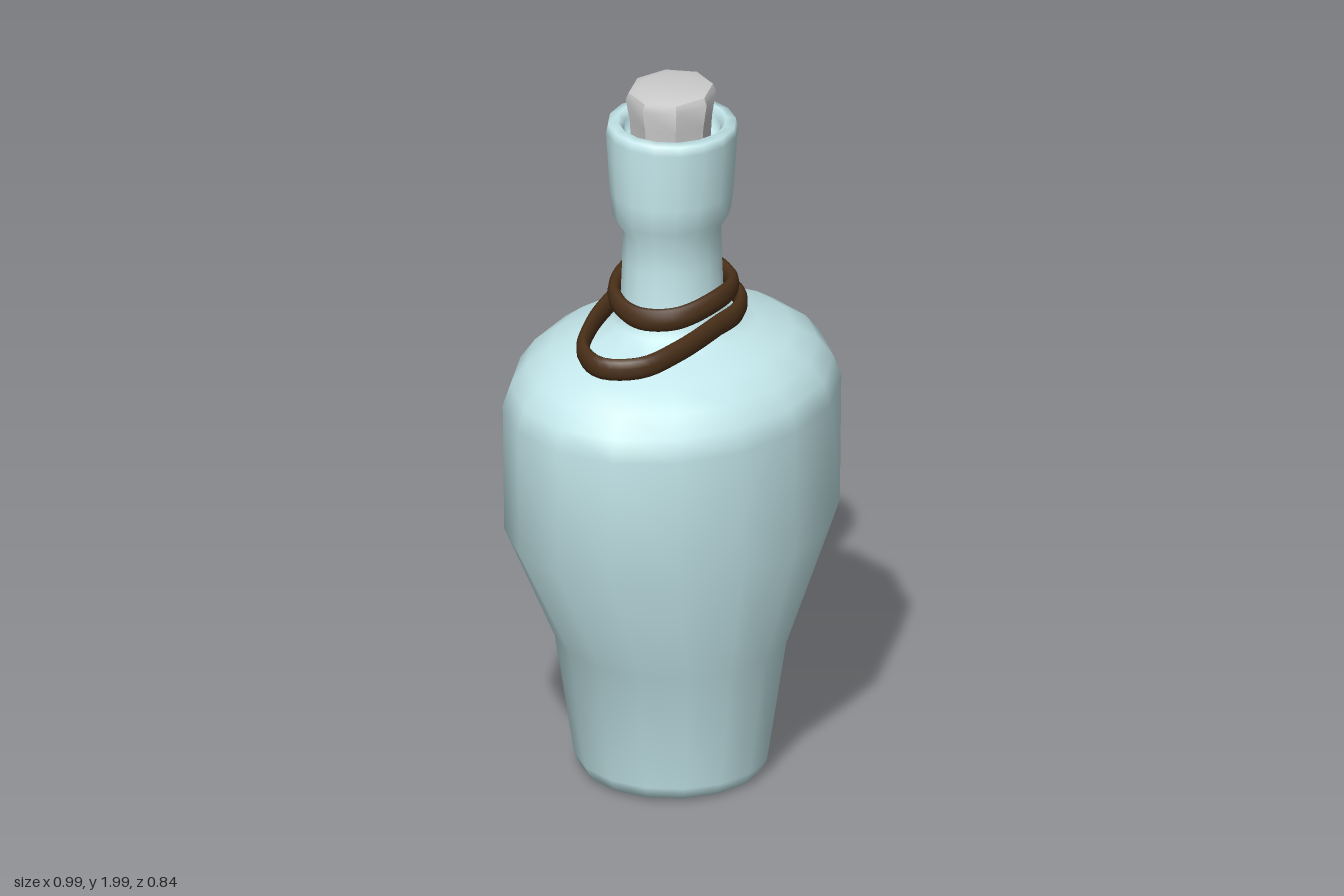
import * as THREE from 'three';
import { mergeVertices, toCreasedNormals } from 'three/addons/utils/BufferGeometryUtils.js';

const material = (color) => new THREE.MeshStandardMaterial({ color, roughness: 0.8 });

// Lathe whose rings are ellipses: each ring is [half width x, half depth z, y]
function ellipticLathe(rings, sides) {
  const points = rings.map(([rx, , y]) => new THREE.Vector2(rx, y));
  let geometry = new THREE.LatheGeometry(points, sides);
  const position = geometry.attributes.position;
  for (let i = 0; i < position.count; i++) {
    const [rx, rz] = rings[i % rings.length];
    if (rx > 0) position.setZ(i, position.getZ(i) * rz / rx);
  }
  geometry.deleteAttribute('uv');
  geometry.deleteAttribute('normal');
  geometry = mergeVertices(geometry, 1e-4);
  geometry.computeVertexNormals();
  return geometry;
}

// Closed cord through the points, taller than it is thick
function cordLoop(points) {
  const stretch = 1.8;
  const path = points.map(([x, y, z]) => new THREE.Vector3(x, y / stretch, z));
  const curve = new THREE.CatmullRomCurve3(path, true);
  return new THREE.TubeGeometry(curve, 56, 0.018, 10, true).scale(1, stretch, 1);
}

export function createModel() {
  const group = new THREE.Group();
  const add = (name, geometry, mat) => {
    const mesh = new THREE.Mesh(geometry, mat);
    mesh.name = name;
    group.add(mesh);
  };
  const glass = material(0xc5e8ec);
  const leather = material(0x4a3019);

  // Bottle: foot, flared body, shoulder, neck, collar and inner lip
  add('bottle', ellipticLathe([
    [0, 0, 0.01], [0.21, 0.21, 0.01], [0.245, 0.245, 0.02], [0.26, 0.262, 0.055],
    [0.31, 0.315, 0.4], [0.49, 0.415, 0.74], [0.495, 0.418, 1.1],
    [0.475, 0.398, 1.16], [0.43, 0.36, 1.215], [0.36, 0.3, 1.26], [0.25, 0.215, 1.295],
    [0.165, 0.15, 1.32], [0.148, 0.13, 1.38], [0.143, 0.125, 1.5], [0.142, 0.125, 1.59],
    [0.17, 0.15, 1.63], [0.174, 0.16, 1.7], [0.176, 0.176, 1.865],
    [0.17, 0.171, 1.89], [0.145, 0.145, 1.894], [0.13, 0.13, 1.875], [0.125, 0.125, 1.83], [0, 0, 1.83],
  ], 16), glass);

  // Stopper: eight sided plug with a slightly uneven top
  const stopper = ellipticLathe([
    [0, 0, 1.83], [0.106, 0.106, 1.83], [0.11, 0.11, 1.9], [0.12, 0.121, 1.965],
    [0.112, 0.113, 1.985], [0.085, 0.085, 1.993], [0, 0, 1.992],
  ], 8);
  const p = stopper.attributes.position;
  for (let i = 0; i < p.count; i++) {
    if (p.getY(i) > 1.95) p.setY(i, p.getY(i) + 0.06 * p.getX(i) + 0.03 * p.getZ(i));
  }
  stopper.translate(0, 0, -0.004);
  add('stopper', toCreasedNormals(stopper, 0.7), material(0xcccccc));

  // Cord: a slack lower loop and a tight upper loop round the neck
  add('lowerCord', cordLoop([
    [0.196, 1.345, 0.01], [0.165, 1.345, 0.1], [0.09, 1.34, 0.148], [0, 1.338, 0.157],
    [-0.17, 1.325, 0.158], [-0.29, 1.31, 0.125], [-0.348, 1.305, 0.035],
    [-0.31, 1.312, -0.055], [-0.2, 1.33, -0.115], [-0.08, 1.345, -0.148],
    [0.03, 1.352, -0.168], [0.13, 1.35, -0.125],
  ]), leather);
  add('upperCord', cordLoop([
    [0.168, 1.412, 0], [0.12, 1.405, 0.11], [0, 1.405, 0.145], [-0.12, 1.385, 0.105],
    [-0.163, 1.378, 0.01], [-0.12, 1.395, -0.1], [0, 1.42, -0.148], [0.12, 1.42, -0.11],
  ]), leather);

  return group;
}
